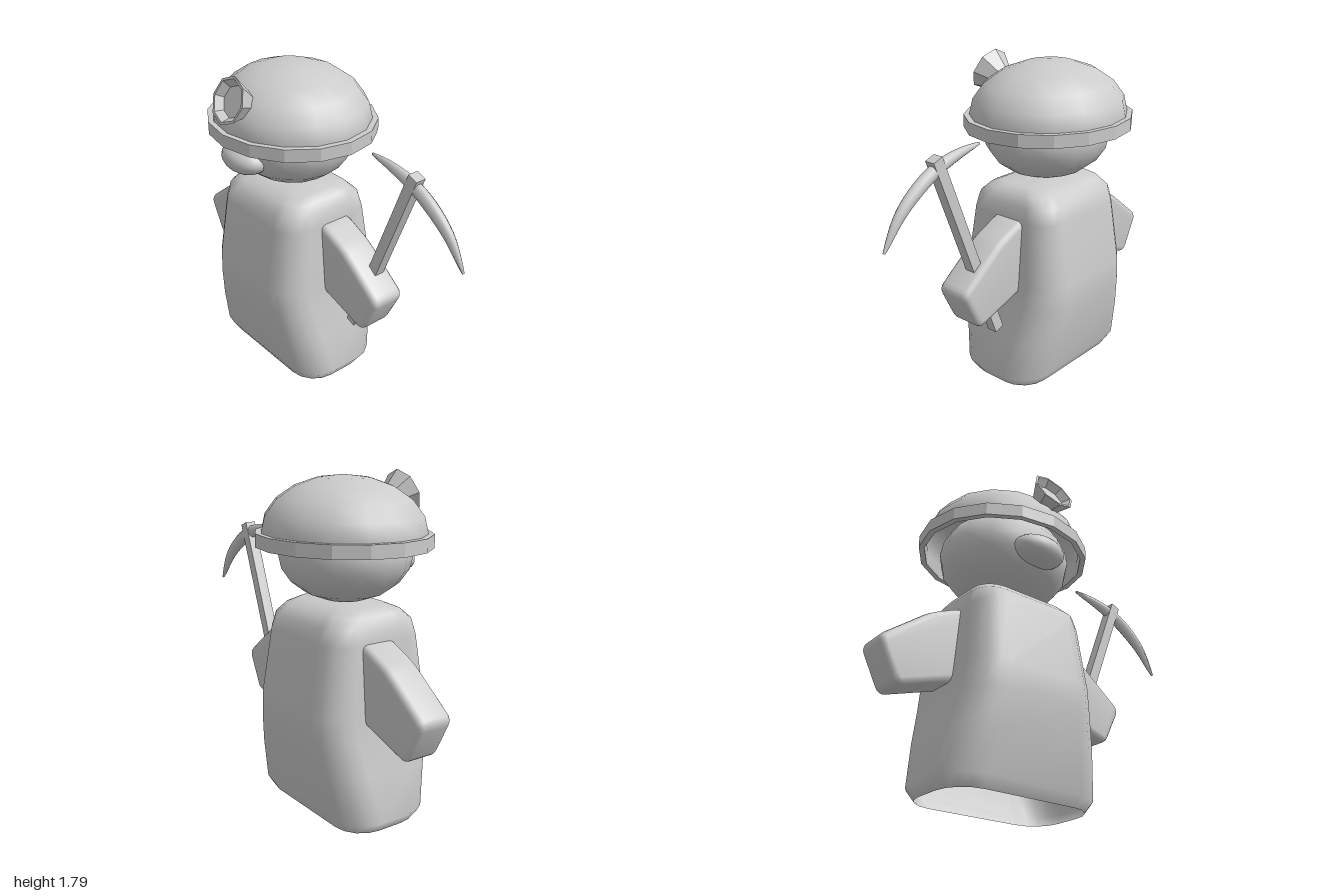
import * as THREE from 'three';
import { toCreasedNormals } from 'three/addons/utils/BufferGeometryUtils.js';

const CX = -0.225; // the figure stands left of centre to balance the pickaxe
const smooth = new THREE.MeshStandardMaterial({ color: 0xcccccc, side: THREE.DoubleSide });
const flat = new THREE.MeshStandardMaterial({ color: 0xcccccc, side: THREE.DoubleSide, flatShading: true });

function add(parent, name, geometry, material, x = 0, y = 0, z = 0) {
  const mesh = new THREE.Mesh(geometry, material);
  mesh.name = name;
  mesh.position.set(x, y, z);
  parent.add(mesh);
  return mesh;
}

// Robe: rounded-rectangle loops stacked upward, open at the hem
function robeGeometry() {
  const levels = [ // y, half width, half depth, corner radius
    [0, 0.43, 0.235, 0.16], [0.06, 0.47, 0.27, 0.18], [0.3, 0.425, 0.32, 0.18],
    [0.48, 0.385, 0.346, 0.17], [0.62, 0.367, 0.348, 0.16], [0.97, 0.338, 0.295, 0.14],
    [1.05, 0.325, 0.27, 0.13], [1.1, 0.29, 0.22, 0.12], [1.13, 0.24, 0.15, 0.1],
  ];
  const pos = [], index = [], steps = 4, n = 4 * (steps + 1);
  for (const [y, w, d, r] of levels) {
    for (let c = 0; c < 4; c++) {
      const sx = c === 0 || c === 3 ? 1 : -1, sz = c < 2 ? 1 : -1;
      for (let s = 0; s <= steps; s++) {
        const a = (c + s / steps) * Math.PI / 2;
        pos.push(sx * (w - r) + r * Math.cos(a), y, sz * (d - r) + r * Math.sin(a));
      }
    }
  }
  const top = levels.length * n;
  pos.push(0, 1.138, 0);
  for (let k = 0; k < levels.length; k++) {
    for (let i = 0; i < n; i++) {
      const a = k * n + i, b = k * n + (i + 1) % n;
      if (k === levels.length - 1) index.push(a, top, b);
      else index.push(a, a + n, b, b, a + n, b + n);
    }
  }
  const g = new THREE.BufferGeometry();
  g.setAttribute('position', new THREE.Float32BufferAttribute(pos, 3));
  g.setIndex(index);
  g.computeVertexNormals();
  return g;
}

// Sleeve: softened polygon with rounded edges, mirrored by side
function sleeveGeometry(side) {
  const p = [[0.25, 0.99], [0.345, 0.975], [0.51, 0.90], [0.785, 0.69], [0.67, 0.46], [0.3, 0.58]]
    .map(([x, y]) => new THREE.Vector2(side * x, y));
  const shape = new THREE.Shape();
  p.forEach((c, i) => {
    const before = p[(i + p.length - 1) % p.length], after = p[(i + 1) % p.length];
    const a = c.clone().add(before.clone().sub(c).setLength(0.045));
    const b = c.clone().add(after.clone().sub(c).setLength(0.045));
    if (i === 0) shape.moveTo(a.x, a.y); else shape.lineTo(a.x, a.y);
    shape.quadraticCurveTo(c.x, c.y, b.x, b.y);
  });
  shape.closePath();
  const bevel = 0.03;
  const g = new THREE.ExtrudeGeometry(shape, {
    depth: 0.2 - 2 * bevel, bevelThickness: bevel, bevelSize: bevel, bevelOffset: -bevel,
    bevelSegments: 3, curveSegments: 4,
  });
  g.translate(0, 0, bevel - 0.1);
  return toCreasedNormals(g, 0.8);
}

// Curved pick blade: a tube that tapers to both tips
function bladeGeometry() {
  const curve = new THREE.CatmullRomCurve3([
    [0.355, 1.453], [0.5, 1.432], [0.64, 1.392], [0.77, 1.322], [0.89, 1.22], [0.995, 1.068],
  ].map(([x, y]) => new THREE.Vector3(x, y, 0)));
  const rings = 20, sides = 10;
  const g = new THREE.TubeGeometry(curve, rings, 1, sides);
  const pos = g.attributes.position, v = new THREE.Vector3();
  for (let i = 0; i <= rings; i++) {
    const centre = curve.getPointAt(i / rings);
    const r = 0.007 + 0.032 * Math.pow(Math.sin(Math.PI * i / rings), 0.8);
    for (let j = 0; j <= sides; j++) {
      const k = i * (sides + 1) + j;
      v.fromBufferAttribute(pos, k).sub(centre).multiplyScalar(r);
      v.z *= 0.82;
      v.add(centre);
      pos.setXYZ(k, v.x, v.y, v.z);
    }
  }
  g.computeVertexNormals();
  return g;
}

const lathe = (points, sides) =>
  new THREE.LatheGeometry(points.map(([x, y]) => new THREE.Vector2(x, y)), sides);

export function createModel() {
  const model = new THREE.Group();
  model.name = 'miner';

  add(model, 'robe', robeGeometry(), smooth, CX);
  add(model, 'rightArm', sleeveGeometry(-1), smooth, CX, 0, -0.025);
  add(model, 'leftArm', sleeveGeometry(1), smooth, CX, 0, -0.025);

  // Head and nose
  const head = add(model, 'head', new THREE.SphereGeometry(1, 16, 10), smooth, -0.24, 1.39, 0);
  head.scale.set(0.37, 0.26, 0.345);
  const nose = add(model, 'nose', new THREE.SphereGeometry(1, 20, 14), smooth, -0.24, 1.325, 0.31);
  nose.scale.set(0.155, 0.081, 0.106);

  // Hollow helmet with a flat-sided rim
  const helmet = new THREE.Group();
  helmet.name = 'helmet';
  helmet.position.set(-0.24, 1.485, -0.01);
  model.add(helmet);
  const dome = add(helmet, 'helmetDome',
    new THREE.SphereGeometry(1, 16, 5, 0, Math.PI * 2, 0, Math.PI / 2), smooth);
  dome.scale.set(0.455, 0.295, 0.42);
  const rim = add(helmet, 'helmetRim',
    lathe([[0.455, -0.065], [0.487, -0.065], [0.487, 0.005], [0.45, 0.005], [0.455, -0.065]], 16), flat);
  rim.scale.z = 0.92;

  // Head lamp with a recessed face
  const lamp = add(model, 'headLamp',
    lathe([[0, 0], [0.07, 0], [0.128, 0.11], [0.114, 0.11], [0.085, 0.07], [0, 0.07]], 8),
    flat, -0.215, 1.632, 0.31);
  lamp.rotation.x = 1.17;

  // Pickaxe held in the left hand
  const pickaxe = new THREE.Group();
  pickaxe.name = 'pickaxe';
  pickaxe.position.z = -0.052;
  model.add(pickaxe);
  const handle = add(pickaxe, 'pickaxeHandle', new THREE.BoxGeometry(0.06, 1.15, 0.06), flat, 0.457, 0.908, 0);
  handle.rotation.z = -Math.atan2(0.41, 1.075);
  add(pickaxe, 'pickaxeBlade', bladeGeometry(), smooth);

  return model;
}
